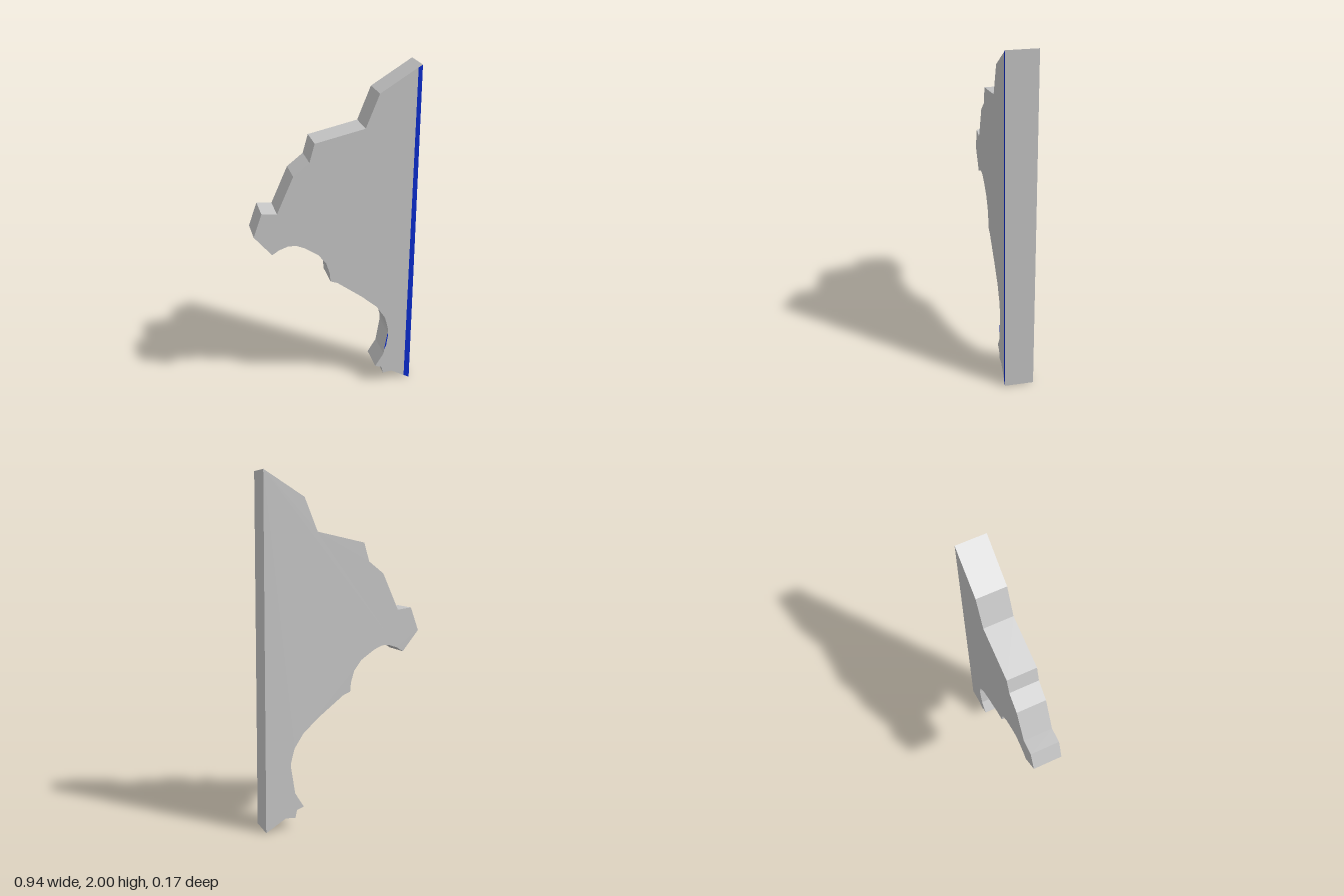
import * as THREE from 'three';

const DEPTH = 0.166;

const outline = [
  // stepped upper edge, from the top corner down to the tip
  [0.46, 2], [0.23, 1.86], [0.155, 1.675], [-0.125, 1.615], [-0.155, 1.51], [-0.245, 1.44],
  [-0.34, 1.23], [-0.425, 1.24], [-0.473, 1.105], [-0.375, 0.985],
  // upper hollow
  [-0.335, 1.01], [-0.285, 1.027], [-0.24, 1.027], [-0.19, 1.005], [-0.11, 0.95],
  [-0.065, 0.89], [-0.045, 0.825], [-0.04, 0.77],
  // lower hollow
  [0, 0.755], [0.15, 0.64], [0.245, 0.555], [0.3, 0.47], [0.321, 0.39], [0.321, 0.36],
  [0.298, 0.21], [0.247, 0.125],
  // foot
  [0.288, 0.11], [0.298, 0.065], [0.355, 0.07], [0.472, 0],
];
const edgeStrip = [[0.437, 1.985], [0.437, 0.022], [0.472, 0.001], [0.46, 1.999]];
const hollowSliver = [[0.32, 0.36], [0.299, 0.235], [0.312, 0.265], [0.323, 0.34]];

const toShape = (points) => new THREE.Shape(points.map(([x, y]) => new THREE.Vector2(x, y)));

export function createModel() {
  const stone = new THREE.MeshStandardMaterial({ color: 0xc8c8c8 });
  stone.name = 'light grey';
  const blue = new THREE.MeshStandardMaterial({ color: 0x0a2cd0 });
  blue.name = 'blue';

  const group = new THREE.Group();
  group.name = 'bracket';
  const add = (name, geometry, material, z) => {
    const mesh = new THREE.Mesh(geometry, material);
    mesh.name = name;
    mesh.position.z = z;
    group.add(mesh);
  };

  // flat slab cut to the bracket profile
  const slab = new THREE.ExtrudeGeometry(toShape(outline), { depth: DEPTH, bevelEnabled: false });
  add('bracketBody', slab, stone, -DEPTH / 2);

  // painted marks on the front face
  add('edgeStrip', new THREE.ShapeGeometry(toShape(edgeStrip)), blue, DEPTH / 2 + 0.001);
  add('hollowSliver', new THREE.ShapeGeometry(toShape(hollowSliver)), blue, DEPTH / 2 + 0.001);
  return group;
}
